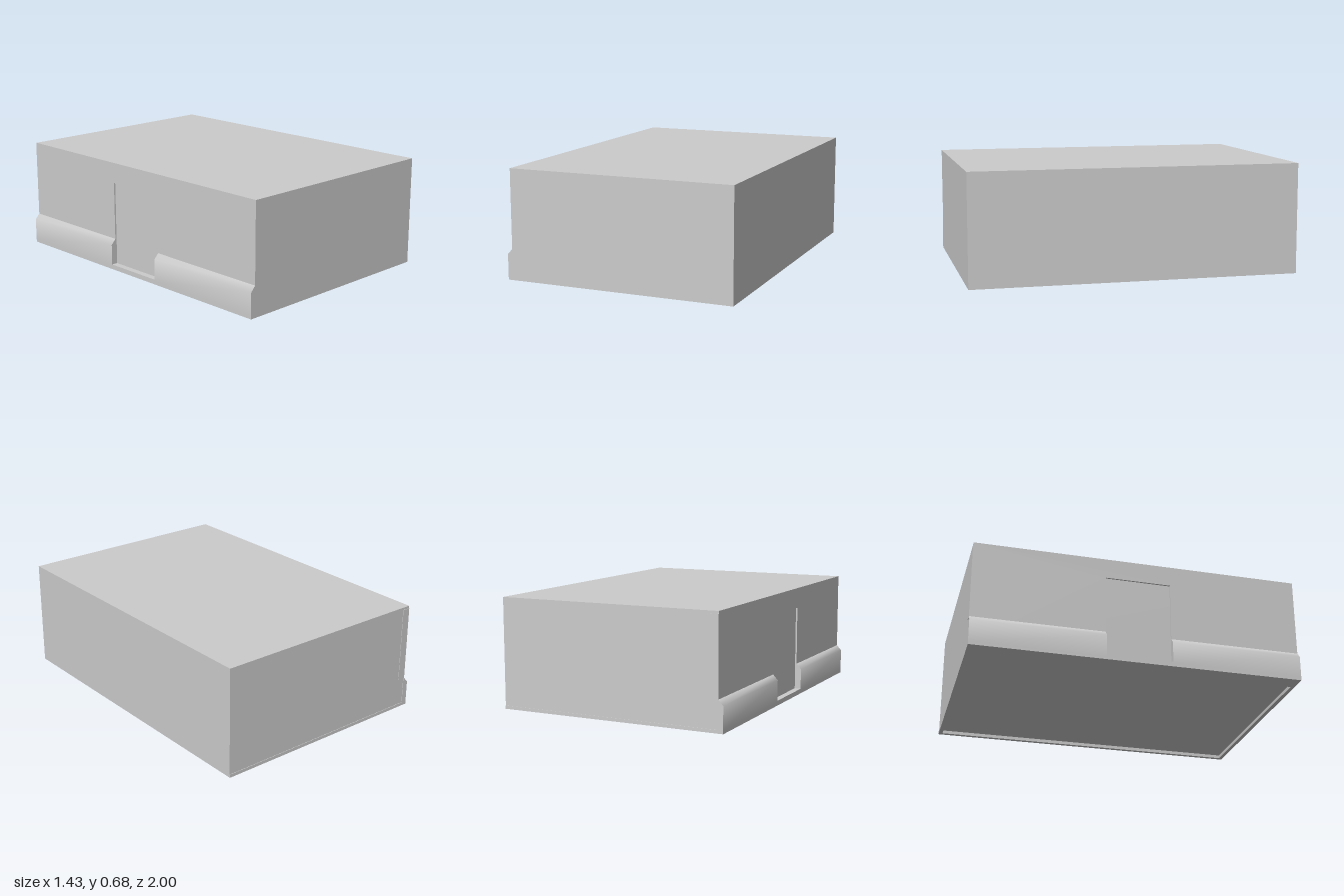
import * as THREE from 'three';
import { toCreasedNormals } from 'three/addons/utils/BufferGeometryUtils.js';

const mat = new THREE.MeshStandardMaterial({ color: 0xcccccc });

export function createModel() {
  const model = new THREE.Group();

  const add = (name, geo) => {
    const mesh = new THREE.Mesh(geo, mat);
    mesh.name = name;
    model.add(mesh);
    return mesh;
  };
  // Box given by its two extreme corners
  const block = (name, [x0, y0, z0], [x1, y1, z1]) =>
    add(name, new THREE.BoxGeometry(x1 - x0, y1 - y0, z1 - z0)
      .translate((x0 + x1) / 2, (y0 + y1) / 2, (z0 + z1) / 2));
  const rect = (Type, x0, y0, x1, y1) => new Type([
    new THREE.Vector2(x0, y0), new THREE.Vector2(x1, y0),
    new THREE.Vector2(x1, y1), new THREE.Vector2(x0, y1),
  ]);
  const extrude = (shape, depth) =>
    new THREE.ExtrudeGeometry(shape, { depth, bevelEnabled: false });

  const H = 0.675, back = -0.997;

  // Main block, standing on the base rim
  block('body', [-0.675, 0.02, back], [0.715, H, 1]);

  // Base rim around a shallow recess in the underside
  const rim = rect(THREE.Shape, -0.715, -1, 0.715, 1);
  rim.holes.push(rect(THREE.Path, -0.605, -0.975, 0.69, 0.975));
  add('baseRim', extrude(rim, 0.02).rotateX(-Math.PI / 2));

  // Side skin with a shallow recessed panel above the notch
  const skin = rect(THREE.Shape, -1, 0.02, -back, H);
  skin.holes.push(rect(THREE.Path, -0.2, 0.03, 0.2, 0.55));
  add('sideSkin', extrude(skin, 0.01).rotateY(-Math.PI / 2).scale(1, 1, -1)
    .rotateY(Math.PI).translate(0, 0, 0)).geometry.dispose();
  model.remove(model.getObjectByName('sideSkin'));
  add('sideSkin', extrude(skin, 0.01).rotateY(Math.PI / 2).translate(-0.685, 0, 0));

  // Chamfered lip, in two lengths either side of the notch
  const profile = new THREE.Shape([
    [-0.68, 0.02], [-0.68, 0.19], [-0.685, 0.19], [-0.715, 0.157], [-0.715, 0.02],
  ].map(([x, y]) => new THREE.Vector2(x, y)));
  [['backLip', -1], ['frontLip', 0.2]].forEach(([name, z]) =>
    add(name, toCreasedNormals(extrude(profile, 0.8), 0.9).translate(0, 0, z)));

  // Low sill across the notch
  block('notchSill', [-0.715, 0.02, -0.2], [-0.67, 0.03, 0.2]);

  // Thin raised strip on the back corner
  block('backCornerStrip', [-0.685, 0.19, -1], [-0.635, 0.66, -0.99]);

  return model;
}
